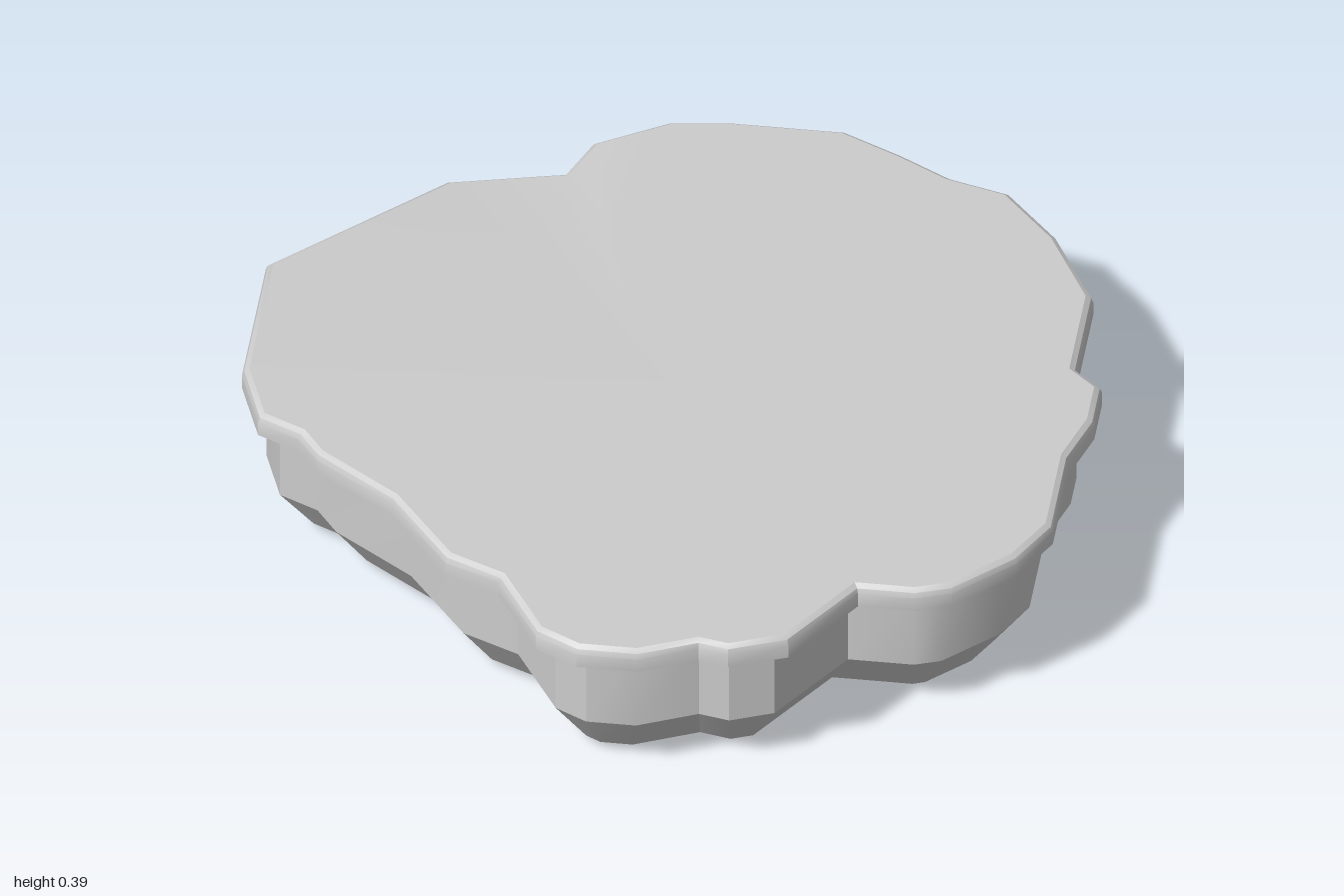
import * as THREE from 'three';
import { toCreasedNormals } from 'three/addons/utils/BufferGeometryUtils.js';

// Plan outline as x, z pairs, starting at the back and running by way of +x
const OUTLINE = [
  [0, -1], [0.26, -1], [0.4, -0.93], [0.52, -0.86], [0.66, -0.82], [0.79, -0.67],
  [0.9, -0.46], [0.9, -0.19], [0.965, -0.13], [0.965, 0], [0.925, 0.14], [0.925, 0.4],
  [0.86, 0.53], [0.73, 0.66], [0.65, 0.69], [0.52, 0.69], [0.39, 0.9], [0.26, 0.955],
  [0.19, 0.94], [0.06, 1], [-0.08, 1], [-0.18, 0.945], [-0.29, 0.76], [-0.42, 0.7],
  [-0.57, 0.5], [-0.76, 0.36], [-0.81, 0.29], [-0.91, 0.24], [-0.97, 0.07],
  [-0.97, -0.33], [-0.61, -0.72], [-0.35, -0.785], [-0.3, -0.88], [-0.14, -0.98],
];
const N = OUTLINE.length;
const SAGGING = [30, 31]; // corners of the lobe that droops slightly
const SAG = 0.02;

// Inward normal of the edge that starts at corner i
function edgeNormal(i) {
  const [ax, az] = OUTLINE[(i + N) % N];
  const [bx, bz] = OUTLINE[(i + 1) % N];
  return new THREE.Vector2(az - bz, bx - ax).normalize();
}

// Outline moved inward by a mitred inset, at height y
function ring(inset, y) {
  return OUTLINE.map(([x, z], i) => {
    const a = edgeNormal(i - 1), b = edgeNormal(i);
    const k = inset / (1 + a.dot(b));
    const drop = SAGGING.includes(i) ? SAG : 0;
    return new THREE.Vector3(x + (a.x + b.x) * k, y - drop, z + (a.y + b.y) * k);
  });
}

// Level copy of the outline shrunk towards the centre, for the flat faces
const flatRing = (scale, y) => OUTLINE.map(([x, z]) => new THREE.Vector3(x * scale, y, z * scale));

// Joins rings from bottom to top into one surface
function loft(rings) {
  const pos = [];
  const tri = (...pts) => pts.forEach((p) => pos.push(p.x, p.y, p.z));
  for (let r = 0; r < rings.length - 1; r++) {
    const lo = rings[r], hi = rings[r + 1];
    for (let i = 0; i < N; i++) {
      const j = (i + 1) % N;
      if (lo[i].distanceTo(lo[j]) > 1e-6) tri(lo[i], hi[i], lo[j]);
      if (hi[i].distanceTo(hi[j]) > 1e-6) tri(hi[i], hi[j], lo[j]);
    }
  }
  const geo = new THREE.BufferGeometry();
  geo.setAttribute('position', new THREE.Float32BufferAttribute(pos, 3));
  return toCreasedNormals(geo, 0.5);
}

export function createModel() {
  const group = new THREE.Group();
  group.name = 'irregularSlab';
  const material = new THREE.MeshStandardMaterial({ color: 0xcccccc });
  const add = (name, rings) => {
    const mesh = new THREE.Mesh(loft(rings), material);
    mesh.name = name;
    group.add(mesh);
  };

  // Body: flat underside, bevelled foot and upright wall
  add('body', [
    flatRing(0, 0.02), flatRing(0.6, 0.02),
    ring(0.14, 0.02), ring(0.055, 0.14), ring(0.055, 0.335),
  ]);

  // Lid: overhanging lip with a softened upper edge and flat top
  add('lid', [
    ring(0.055, 0.335), ring(0, 0.335), ring(0, 0.37),
    ring(0.005, 0.382), ring(0.017, 0.39),
    flatRing(0.6, 0.39), flatRing(0, 0.39),
  ]);
  return group;
}
